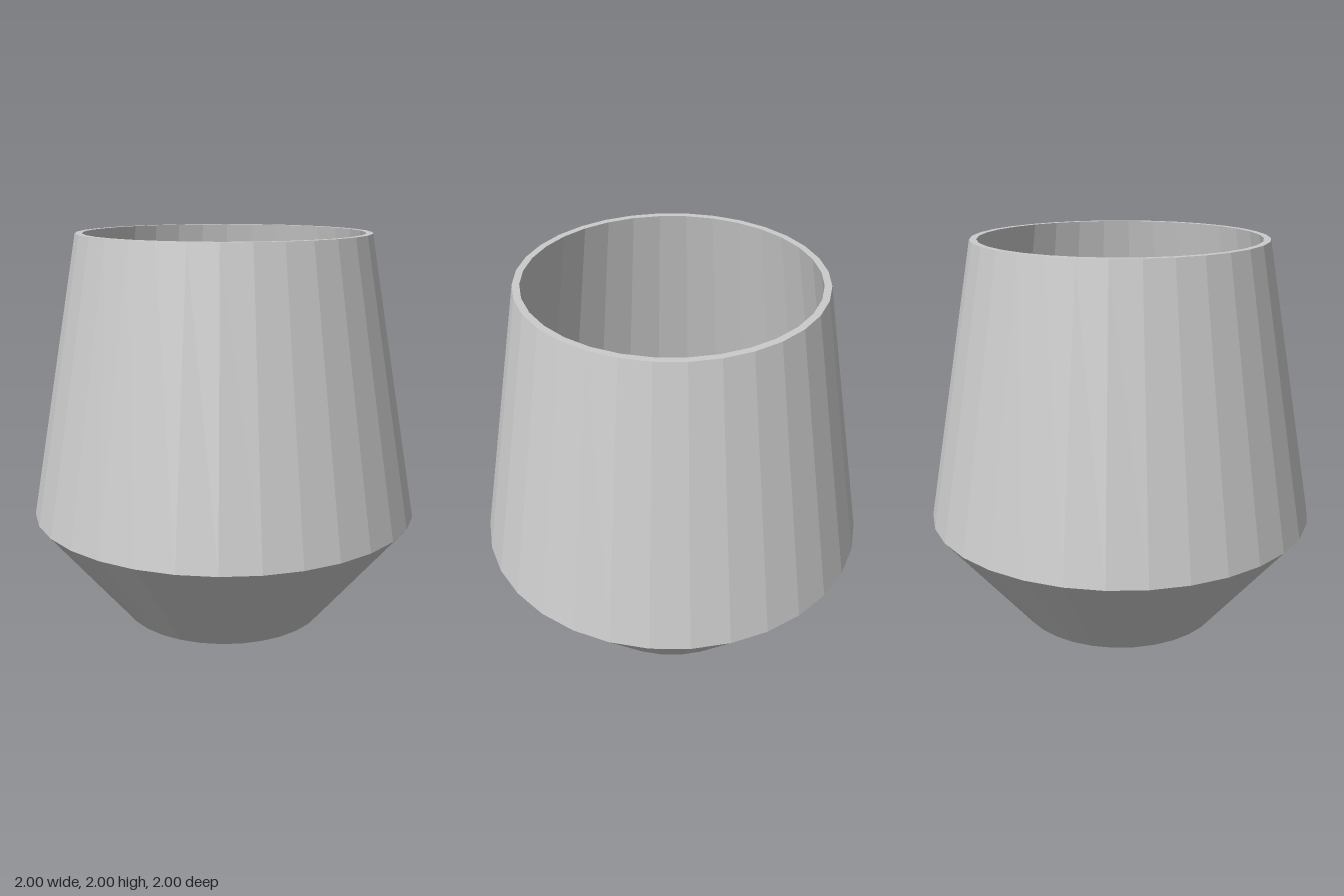
import * as THREE from 'three';

const SIDES = 32;

export function createModel() {
  const group = new THREE.Group();
  group.name = 'cup';

  // Closed wall profile: underside, outer wall, rim, inner wall, floor
  const profile = [
    [0, 0], [0.54, 0],
    [1, 0.56], [0.745, 2],
    [0.71, 2], [0.96, 0.565],
    [0.595, 0.12], [0, 0.12],
  ].map(([r, y]) => new THREE.Vector2(r, y));

  const material = new THREE.MeshStandardMaterial({ color: 0xcccccc, flatShading: true });
  const body = new THREE.Mesh(new THREE.LatheGeometry(profile, SIDES), material);
  body.name = 'cupBody';
  group.add(body);

  return group;
}
